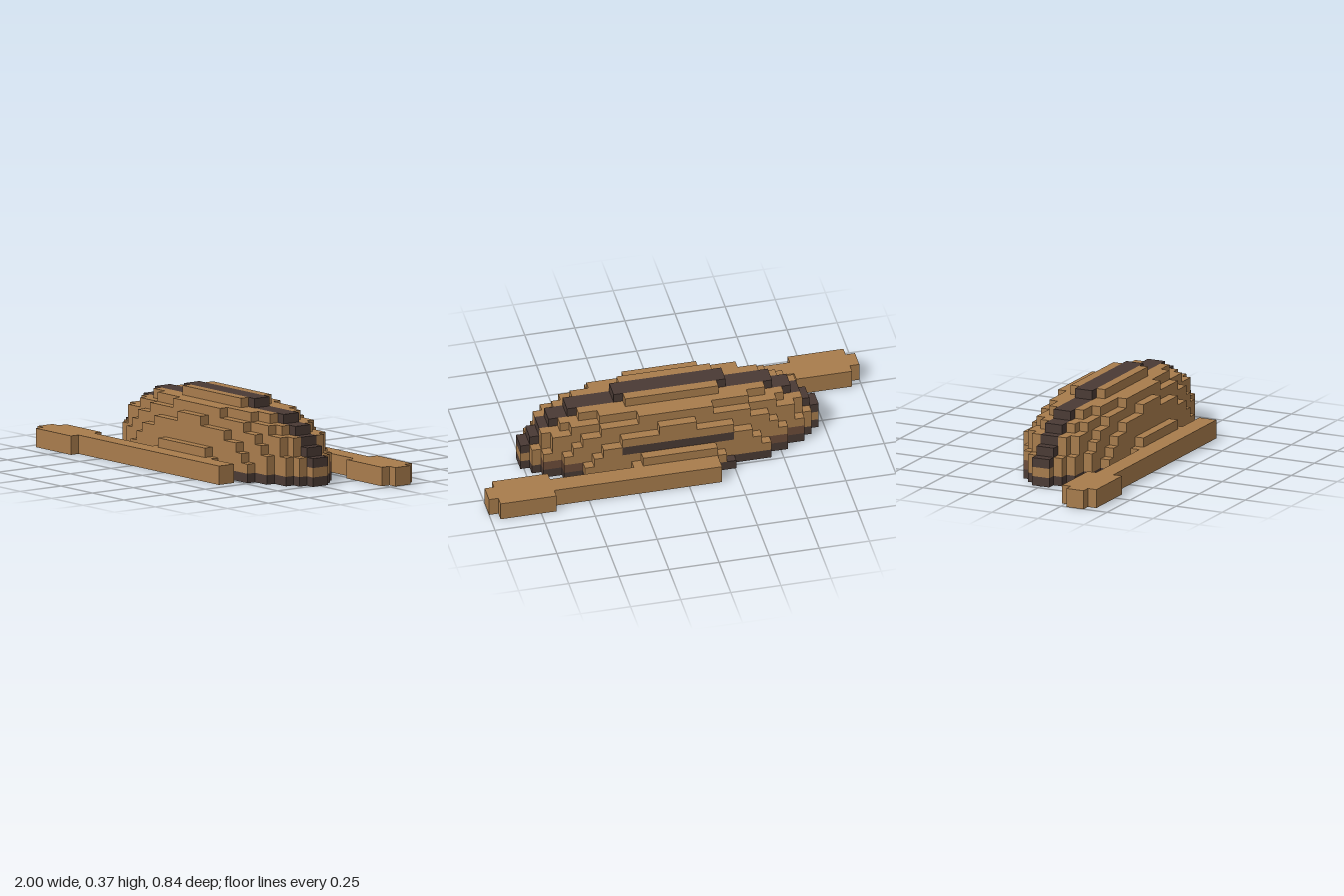
import * as THREE from 'three';

const U = 2 / 43; // edge of one block
const mat = (name, color) => {
  const m = new THREE.MeshStandardMaterial({ color });
  m.name = name;
  return m;
};

export function createModel() {
  const wood = mat('wood', 0xa87c4c);
  const dark = mat('darkWood', 0x4a3a34);
  const umber = mat('umberWood', 0x6d4c39);
  const model = new THREE.Group();
  model.name = 'overturnedBoat';

  const addGroup = (name) => {
    const g = new THREE.Group();
    g.name = name;
    model.add(g);
    return g;
  };
  // Box between block coordinates; x runs 0..43, y from the ground, z from the middle
  const block = (parent, name, material, x0, x1, y0, y1, z0, z1) => {
    const geo = new THREE.BoxGeometry((x1 - x0) * U, (y1 - y0) * U, (z1 - z0) * U);
    geo.translate(((x0 + x1) / 2 - 21.5) * U, ((y0 + y1) / 2) * U, ((z0 + z1) / 2) * U);
    const mesh = new THREE.Mesh(geo, material);
    mesh.name = name;
    parent.add(mesh);
  };

  // Half-length of every row of blocks: one list per layer, rows from keel outward
  const layers = [
    [16, 15, 14, 12, 10, 6],
    [16, 15, 14, 12, 10, 5],
    [16, 15, 14, 12, 9, 4],
    [15, 14, 13, 11, 8],
    [14, 14, 13, 10, 6],
    [13, 12, 11, 8, 2],
    [11, 10, 8, 4],
    [6, 5],
  ];
  const hull = addGroup('hull');
  const MID = 22;
  layers.forEach((rows, y) => rows.forEach((h, r) => {
    for (const side of [1, -1]) {
      const z0 = side > 0 ? r : -r - 1;
      const put = (name, m, a, b) => block(hull, name, m, MID + a, MID + b, y, y + 1, z0, z0 + 1);
      if (y === 0) put('rim', dark, -h, h);
      else if (r === 0 && y > 1) put('keelStripe', dark, -h, h);
      else if (side < 0 && y === 1 && (r === 2 || r === 3)) put('rimPatch', umber, -h, h);
      else if (side < 0 && y === 3 && r === 4) {
        // Dark band along the rear side
        put('sidePlank', wood, -h, -6);
        put('darkBand', dark, -6, 6);
        put('sidePlank', wood, 6, h);
      } else put('hullPlank', wood, -h, h);
    }
  }));

  // Paddles lying along both sides, blades at opposite ends
  const paddle = (name, x0, x1, b0, b1, zc) => {
    const g = addGroup(name);
    block(g, 'shaft', wood, x0, x1, 0, 2, zc - 1, zc + 1);
    block(g, 'bladeEdge', wood, b0, b1, 0, 2, zc + 1, zc + 2);
    block(g, 'bladeEdge', wood, b0, b1, 0, 2, zc - 2, zc - 1);
  };
  paddle('frontPaddle', 0, 31, 1, 7, 7);
  paddle('backPaddle', 18, 43, 36, 42, -7);
  return model;
}
